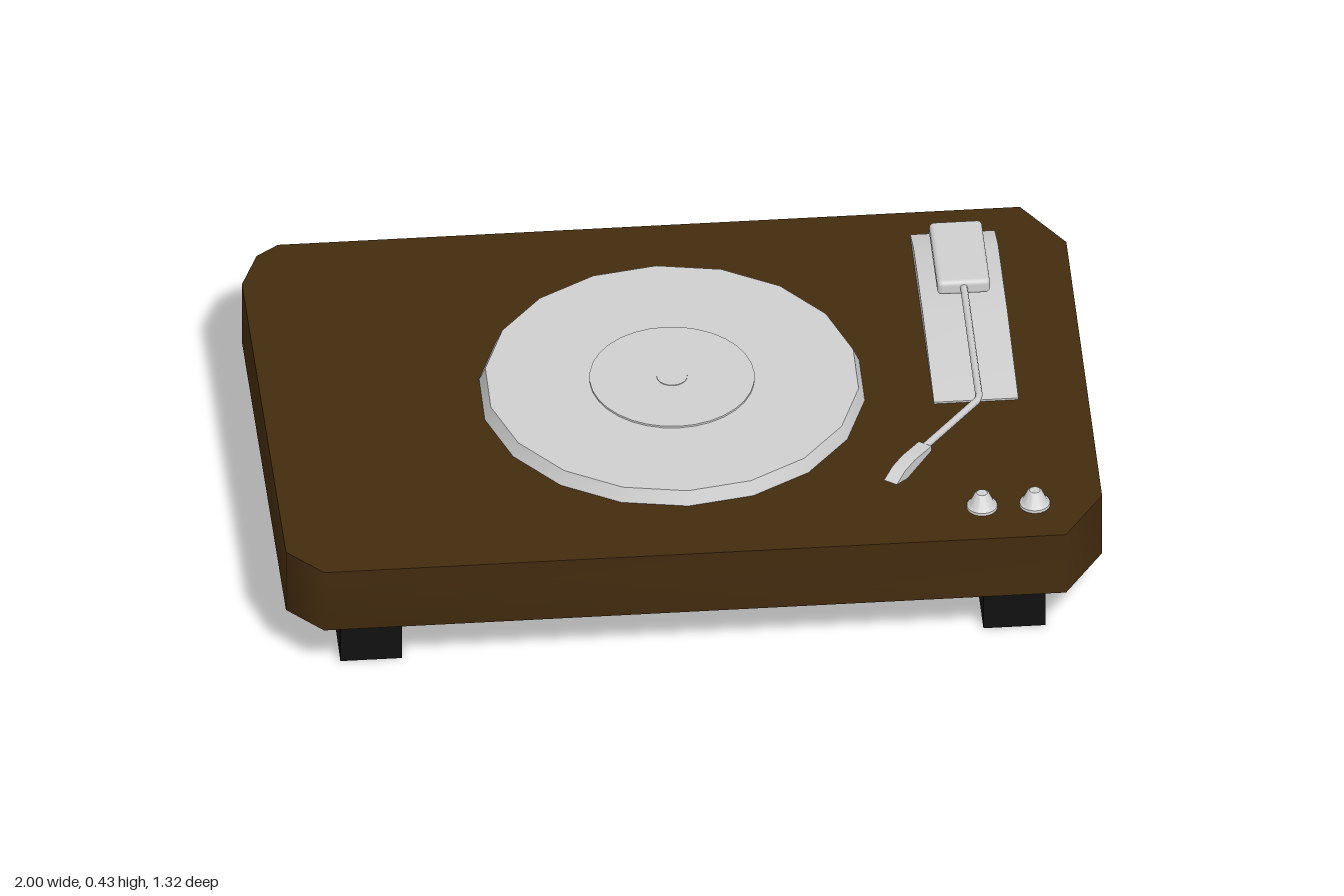
import * as THREE from 'three';
import { toCreasedNormals } from 'three/addons/utils/BufferGeometryUtils.js';
import { RoundedBoxGeometry } from 'three/addons/geometries/RoundedBoxGeometry.js';

const V = (x, y, z) => new THREE.Vector3(x, y, z);

function material(name, color) {
  const m = new THREE.MeshStandardMaterial({ color });
  m.name = name;
  return m;
}

// Extrude a 2D outline, centred on its depth
function prism(points, depth, crease = 0.5) {
  const shape = new THREE.Shape(points.map(([x, y]) => new THREE.Vector2(x, y)));
  const g = new THREE.ExtrudeGeometry(shape, { depth, bevelEnabled: false });
  g.translate(0, 0, -depth / 2);
  return toCreasedNormals(g, crease);
}

// Side profile given as [z, y], extruded along x
const sideProfile = (points, width) => prism(points, width).rotateY(-Math.PI / 2);

export function createModel() {
  const wood = material('walnut wood', 0x442c0f);
  const metal = material('silver metal', 0xcfcfcf);
  const rubber = material('black rubber', 0x111111);

  const model = new THREE.Group();
  model.name = 'turntable';
  const add = (name, geometry, mat, x = 0, y = 0, z = 0, parent = model) => {
    const mesh = new THREE.Mesh(geometry, mat);
    mesh.name = name;
    mesh.position.set(x, y, z);
    parent.add(mesh);
    return mesh;
  };

  // Plinth with cut corners, outline in x and z
  const outline = [
    [-0.9, -0.66], [0.9, -0.66], [1, -0.51], [1, 0.51], [0.9, 0.66],
    [-0.9, 0.66], [-0.985, 0.57], [-1, -0.51], [-0.955, -0.62],
  ];
  add('plinth', prism(outline, 0.175, 1.2).rotateX(Math.PI / 2), wood, 0, 0.2325, 0);

  // Feet
  for (const x of [-0.78, 0.78]) for (const z of [-0.517, 0.517]) {
    add('foot', new THREE.BoxGeometry(0.15, 0.146, 0.155), rubber, x, 0.073, z);
  }

  // Platter, label and spindle cap
  const disc = (top, bottom, height, sides) =>
    toCreasedNormals(new THREE.CylinderGeometry(top, bottom, height, sides), 0.5);
  add('platter', disc(0.453, 0.468, 0.035, 18), metal, 0, 0.3375, 0);
  add('recordLabel', disc(0.2, 0.2, 0.006, 32), metal, 0, 0.357, 0);
  add('spindle', disc(0.037, 0.037, 0.003, 20), metal, 0, 0.3605, 0);

  // Sloped plate under the tonearm
  const plate = [[0.11, 0.32], [0.11, 0.325], [-0.2, 0.354], [-0.47, 0.354], [-0.565, 0.325], [-0.565, 0.32]];
  add('tonearmPlate', sideProfile(plate, 0.205), metal, 0.7285, 0, 0);

  // Tonearm: pivot post, counterweight, bent tube
  const arm = new THREE.Group();
  arm.name = 'tonearm';
  model.add(arm);
  add('pivotPost', disc(0.024, 0.024, 0.036, 16), metal, 0.728, 0.37, -0.357, arm);
  add('pivotCollar', disc(0.036, 0.034, 0.012, 20), metal, 0.728, 0.38, -0.357, arm);
  add('counterweight', new RoundedBoxGeometry(0.128, 0.04, 0.25, 3, 0.012), metal, 0.728, 0.405, -0.358, arm);
  const path = new THREE.CurvePath();
  const bend = [V(0.728, 0.408, -0.24), V(0.728, 0.405, 0.2), V(0.722, 0.405, 0.217), V(0.555, 0.408, 0.425)];
  for (let i = 0; i < 3; i++) path.add(new THREE.LineCurve3(bend[i], bend[i + 1]));
  add('armTube', new THREE.TubeGeometry(path, 60, 0.009, 8), metal, 0, 0, 0, arm);

  // Headshell with stylus, turned to follow the arm
  const head = new THREE.Group();
  head.name = 'headshell';
  head.position.set(0.534, 0.41, 0.462);
  head.rotation.y = -0.62;
  arm.add(head);
  const shell = [[-0.08, -0.006], [0.035, -0.016], [0.085, -0.002], [0.045, 0.014], [0, 0.017], [-0.08, 0.008]];
  add('shell', sideProfile(shell, 0.036), metal, 0, 0, 0, head);
  const stylus = add('stylus', new THREE.CylinderGeometry(0.004, 0.001, 0.03, 6), metal, 0, -0.023, 0.037, head);
  stylus.rotation.x = -0.2;

  // Control knobs
  const knob = [[0, 0], [0.038, 0], [0.037, 0.008], [0.03, 0.013], [0.018, 0.04], [0.013, 0.044], [0, 0.044]];
  const knobShape = knob.map(([r, y]) => new THREE.Vector2(r, y));
  for (const x of [0.707, 0.835]) {
    add('knob', toCreasedNormals(new THREE.LatheGeometry(knobShape, 20), 0.6), metal, x, 0.319, 0.531);
  }
  return model;
}
